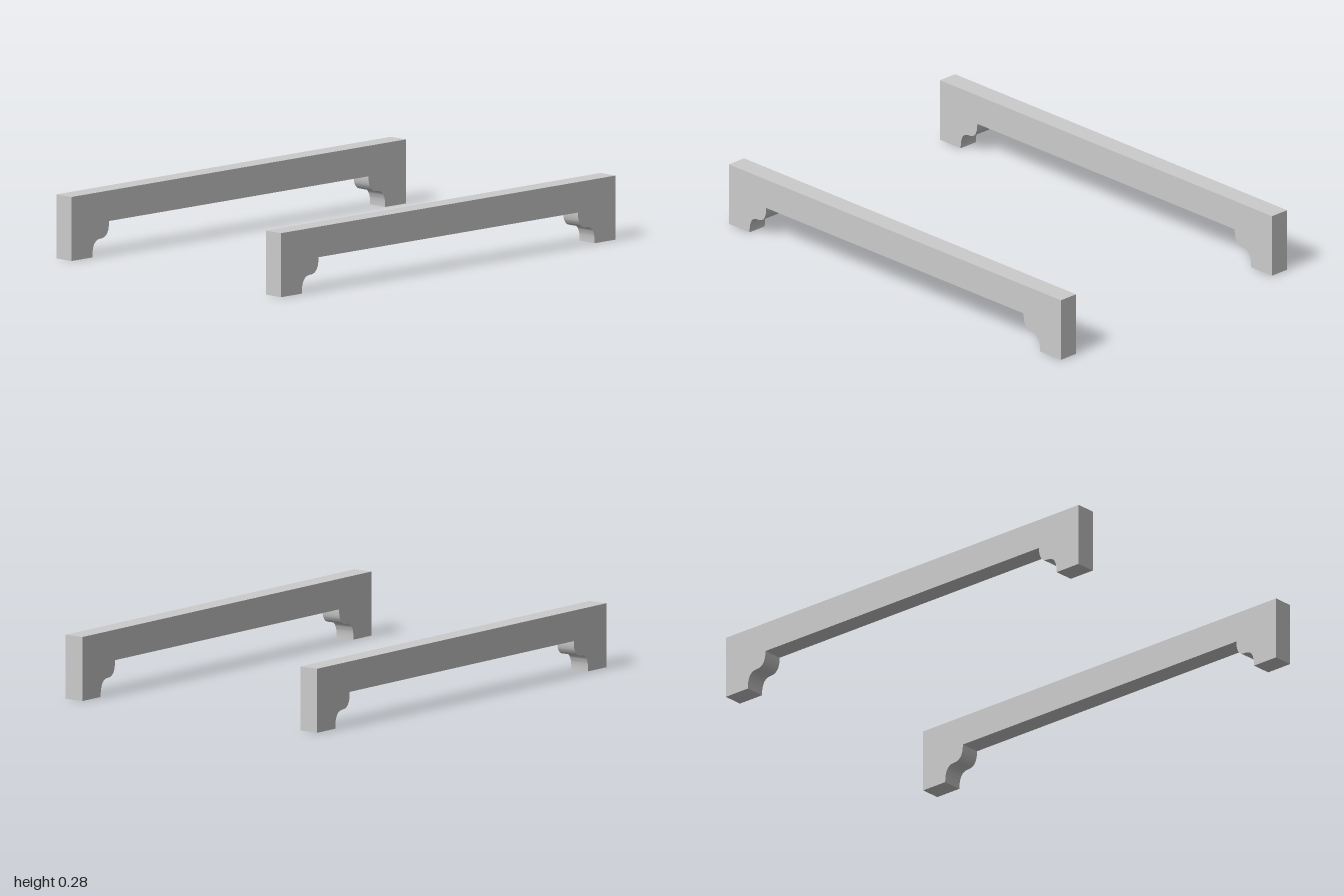
import * as THREE from 'three';
import { toCreasedNormals } from 'three/addons/utils/BufferGeometryUtils.js';

const HEIGHT = 0.275, UNDERSIDE = 0.144, DEPTH = 0.09, CENTRE_Z = 0.627;
const FOOT_X = 0.875, MID_X = 0.825, SPAN_X = 0.775, MID_Y = 0.075;

// Rail outline: straight top, two feet, ogee brackets under the span
function railShape() {
  const s = new THREE.Shape();
  const k = 0.68; // how far each curve reaches into its corner
  const lerp = THREE.MathUtils.lerp;
  s.moveTo(-1, HEIGHT);
  s.lineTo(-1, 0);
  s.lineTo(-FOOT_X, 0);
  // left bracket: cove, then ovolo
  s.bezierCurveTo(-FOOT_X, MID_Y * k, -lerp(MID_X, FOOT_X, k), MID_Y, -MID_X, MID_Y);
  s.bezierCurveTo(-lerp(MID_X, SPAN_X, k), MID_Y, -SPAN_X, lerp(UNDERSIDE, MID_Y, k), -SPAN_X, UNDERSIDE);
  s.lineTo(SPAN_X, UNDERSIDE);
  // right bracket, mirrored
  s.bezierCurveTo(SPAN_X, lerp(UNDERSIDE, MID_Y, k), lerp(MID_X, SPAN_X, k), MID_Y, MID_X, MID_Y);
  s.bezierCurveTo(lerp(MID_X, FOOT_X, k), MID_Y, FOOT_X, MID_Y * k, FOOT_X, 0);
  s.lineTo(1, 0);
  s.lineTo(1, HEIGHT);
  s.closePath();
  return s;
}

export function createModel() {
  const group = new THREE.Group();
  group.name = 'baseRails';
  const material = new THREE.MeshStandardMaterial({ color: 0xcccccc });
  const extruded = new THREE.ExtrudeGeometry(railShape(), {
    depth: DEPTH, bevelEnabled: false, curveSegments: 12,
  });
  extruded.translate(0, 0, -DEPTH / 2);
  const geometry = toCreasedNormals(extruded, Math.PI / 6);

  // Matching front and back rails
  for (const [name, side] of [['frontRail', 1], ['backRail', -1]]) {
    const rail = new THREE.Mesh(geometry, material);
    rail.name = name;
    rail.position.z = side * CENTRE_Z;
    group.add(rail);
  }
  return group;
}
